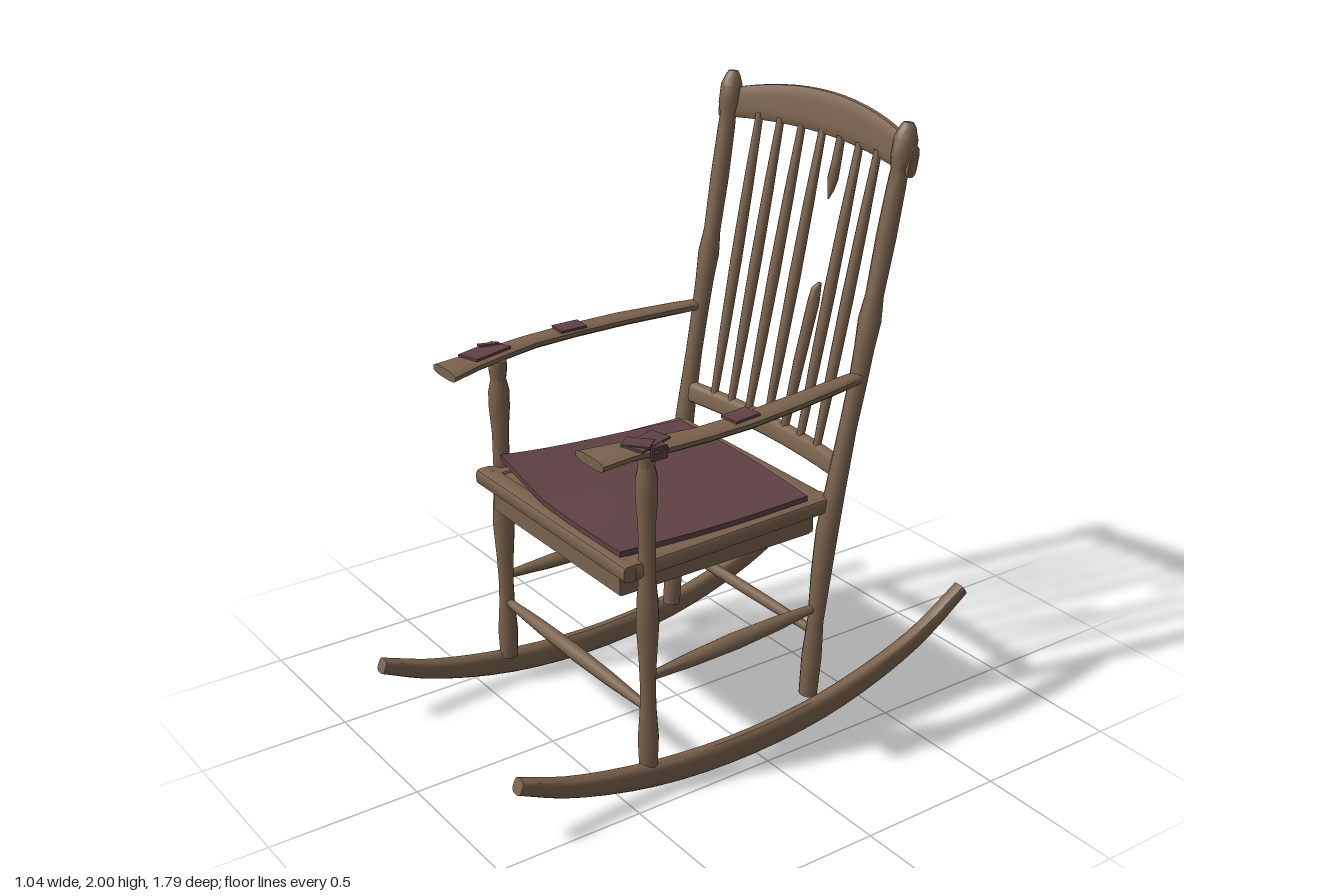
import * as THREE from 'three';
import { toCreasedNormals } from 'three/addons/utils/BufferGeometryUtils.js';

const V = (x, y, z) => new THREE.Vector3(x, y, z);

// Oval or squarish loop around c, spanned by half-axes u and v (k = 1 oval, near 0 square)
function ring(c, u, v, k = 1, n = 12) {
  const f = (t) => Math.sign(t) * Math.abs(t) ** k;
  return Array.from({ length: n }, (_, i) => {
    const a = ((i + 0.5) / n) * Math.PI * 2;
    return c.clone().addScaledVector(u, f(Math.cos(a))).addScaledVector(v, f(Math.sin(a)));
  });
}

// Skin a list of loops, cap both ends and make the faces point outwards
function loft(rings, crease = 0.7) {
  const n = rings[0].length, pts = rings.flat(), idx = [];
  const mean = (r) => r.reduce((s, p) => s.add(p), V(0, 0, 0)).divideScalar(n);
  for (let j = 0; j < rings.length - 1; j++) {
    for (let i = 0; i < n; i++) {
      const a = j * n + i, b = j * n + (i + 1) % n;
      idx.push(a, b, b + n, a, b + n, a + n);
    }
  }
  const last = (rings.length - 1) * n, c0 = pts.length;
  const all = [...pts, mean(rings[0]), mean(rings[rings.length - 1])];
  for (let i = 0; i < n; i++) {
    const k = (i + 1) % n;
    idx.push(c0, k, i, c0 + 1, last + i, last + k);
  }
  let volume = 0;
  for (let i = 0; i < idx.length; i += 3) {
    volume += all[idx[i]].dot(all[idx[i + 1]].clone().cross(all[idx[i + 2]]));
  }
  if (volume < 0) idx.reverse();
  const g = new THREE.BufferGeometry().setFromPoints(all);
  g.setIndex(idx);
  return toCreasedNormals(g, crease);
}

// Turned stick through rows of [x, y, z, radius]
function turned(rows, n = 10) {
  const p = rows.map((r) => V(r[0], r[1], r[2]));
  const axis = p[p.length - 1].clone().sub(p[0]).normalize();
  const u = axis.clone().cross(Math.abs(axis.x) > 0.7 ? V(0, 1, 0) : V(1, 0, 0)).normalize();
  const v = axis.clone().cross(u);
  return loft(rows.map((r, i) => ring(p[i], u.clone().multiplyScalar(r[3]), v.clone().multiplyScalar(r[3]), 1, n)));
}

// Stick that swells in the middle
function stick(a, b, r, mid) {
  return turned([0, 0.25, 0.5, 0.75, 1].map((t) => {
    const p = a.clone().lerp(b, t);
    return [p.x, p.y, p.z, r + (mid - r) * Math.sin(t * Math.PI)];
  }));
}

export function createModel() {
  const model = new THREE.Group();
  const wood = new THREE.MeshStandardMaterial({ color: 0x7a624d });
  wood.name = 'weathered wood';
  const cloth = new THREE.MeshStandardMaterial({ color: 0x5f4145 });
  cloth.name = 'faded cloth';
  const add = (name, geometry, material = wood) => {
    const m = new THREE.Mesh(geometry, material);
    m.name = name;
    model.add(m);
    return m;
  };
  const box = (name, w, h, d, x, y, z, material) => {
    const m = add(name, new THREE.BoxGeometry(w, h, d), material);
    m.position.set(x, y, z);
    return m;
  };

  for (const s of [-1, 1]) {
    const side = s > 0 ? 'left' : 'right';

    // Rocker: z, y, height
    const rk = [[0.885, 0.212, 0.05], [0.7, 0.138, 0.066], [0.4, 0.07, 0.085], [0.08, 0.046, 0.09],
      [-0.25, 0.07, 0.088], [-0.5, 0.13, 0.078], [-0.7, 0.208, 0.062], [-0.885, 0.325, 0.045]];
    const curve = new THREE.CatmullRomCurve3(rk.map((r) => V(r[2], r[1], r[0])));
    add(side + ' rocker', loft(Array.from({ length: 25 }, (_, i) => {
      const p = curve.getPoint(i / 24), t = curve.getTangent(i / 24), h = p.x / 2;
      const up = V(0, -t.z, t.y).normalize().multiplyScalar(h);
      return ring(V(s * 0.43, p.y, p.z), V(0.024, 0, 0), up, 0.6);
    })));

    // Front leg: y, radius
    add(side + ' front leg', turned([[0.1, 0.03], [0.2, 0.034], [0.3, 0.027], [0.38, 0.025], [0.48, 0.029],
      [0.6, 0.037], [0.68, 0.034], [0.74, 0.028], [0.84, 0.028], [0.93, 0.028], [1.02, 0.035], [1.08, 0.035],
      [1.12, 0.026], [1.15, 0.03], [1.185, 0.03]].map(([y, r]) => [s * 0.42, y, 0.41, r])));

    // Back post with knob: x, y, z, radius
    add(side + ' back post', turned([[0.388, 0.11, -0.252, 0.031], [0.39, 0.25, -0.262, 0.034],
      [0.392, 0.38, -0.272, 0.027], [0.395, 0.55, -0.287, 0.034], [0.4, 0.7, -0.302, 0.037],
      [0.405, 0.85, -0.328, 0.033], [0.41, 1.05, -0.365, 0.029], [0.415, 1.2, -0.395, 0.03],
      [0.416, 1.3, -0.413, 0.032], [0.417, 1.39, -0.43, 0.037], [0.418, 1.47, -0.445, 0.029],
      [0.422, 1.65, -0.478, 0.032], [0.426, 1.8, -0.505, 0.03], [0.428, 1.855, -0.515, 0.028],
      [0.43, 1.89, -0.522, 0.038], [0.431, 1.95, -0.532, 0.038], [0.432, 1.985, -0.538, 0.025],
      [0.432, 1.998, -0.54, 0.016]].map(([x, y, z, r]) => [s * x, y, z, r])));

    // Bowed arm rest: z, inner x, outer x, y
    const arm = [[-0.41, 0.395, 0.44, 1.212], [-0.3, 0.403, 0.465, 1.21], [-0.1, 0.422, 0.498, 1.207],
      [0.1, 0.437, 0.515, 1.2], [0.25, 0.435, 0.513, 1.196], [0.38, 0.41, 0.503, 1.192],
      [0.5, 0.378, 0.49, 1.19], [0.605, 0.345, 0.492, 1.184]];
    add(side + ' arm rest', loft(arm.map(([z, a, b, y]) =>
      ring(V(s * (a + b) / 2, y, z), V((b - a) / 2, 0, 0), V(0, 0.017, 0), 0.7))));

    // Side stretcher, seat rail and apron
    add(side + ' stretcher', stick(V(s * 0.415, 0.41, 0.4), V(s * 0.39, 0.427, -0.27), 0.014, 0.029));
    add(side + ' seat rail', loft([[0.46, 0.4], [-0.31, 0.375]].map(([z, x]) =>
      ring(V(s * x, 0.791, z), V(0.036, 0, 0), V(0, 0.027, 0), 0.4))));
    box(side + ' apron', 0.03, 0.085, 0.72, s * 0.352, 0.73, 0.105);

    // Cloth patch near the middle of the arm
    box(side + ' middle arm patch', 0.068, 0.008, 0.095, s * 0.468, 1.22, 0.105, cloth).rotation.set(0.03, s * 0.08, 0);
  }

  // Cloth wrapped near the arm ends
  box('right front arm patch', 0.088, 0.008, 0.15, -0.448, 1.212, 0.44, cloth).rotation.set(0.02, 0.24, 0.04);
  box('right loose scrap', 0.04, 0.007, 0.07, -0.49, 1.214, 0.4, cloth).rotation.set(0, -0.3, 0.2);
  box('left front arm patch', 0.07, 0.008, 0.13, 0.452, 1.212, 0.43, cloth).rotation.set(0.02, 0.3, -0.04);
  box('left crossing patch', 0.085, 0.007, 0.06, 0.45, 1.215, 0.46, cloth).rotation.set(0, 0.7, 0);
  box('left loose scrap', 0.035, 0.007, 0.055, 0.497, 1.205, 0.42, cloth).rotation.set(0, 0.1, -0.35);
  box('left hanging scrap', 0.007, 0.04, 0.055, 0.507, 1.195, 0.425, cloth);

  // Front and back rails, stretchers and aprons
  const rail = (x, y, z, hy, hz) => loft([-x, x].map((e) => ring(V(e, y, z), V(0, hy, 0), V(0, 0, hz), 0.5)));
  add('front seat rail', rail(0.432, 0.791, 0.468, 0.027, 0.033));
  add('back seat rail', rail(0.39, 0.791, -0.285, 0.026, 0.033));
  box('front apron', 0.734, 0.075, 0.03, 0, 0.728, 0.458);
  box('back apron', 0.734, 0.075, 0.03, 0, 0.728, -0.255);
  add('front stretcher', stick(V(-0.41, 0.31, 0.41), V(0.41, 0.305, 0.41), 0.014, 0.026));
  add('back stretcher', stick(V(-0.39, 0.34, -0.268), V(0.39, 0.34, -0.268), 0.014, 0.02));
  box('seat panel', 0.72, 0.02, 0.75, 0, 0.8, 0.09);

  // Thin warped cushion with one lifted front corner
  const cushion = new THREE.BoxGeometry(1, 0.018, 1, 12, 1, 12);
  const pos = cushion.attributes.position;
  for (let i = 0; i < pos.count; i++) {
    const u = pos.getX(i) + 0.5, v = pos.getZ(i) + 0.5;
    const mix = (a, b, c, d) => (a * (1 - u) + b * u) * (1 - v) + (c * (1 - u) + d * u) * v;
    const lift = 0.038 * Math.max(0, 1 - u * 2.5) * v ** 3;
    pos.setXYZ(i, mix(-0.352, 0.385, -0.38, 0.365) + 0.03 * (u - 0.5) * Math.sin(v * Math.PI),
      pos.getY(i) + 0.826 + lift + 0.006 * Math.sin(u * Math.PI) * Math.sin(v * Math.PI),
      mix(-0.265, -0.23, 0.435, 0.47) + 0.03 * (v - 0.5) * Math.sin(u * Math.PI));
  }
  cushion.computeVertexNormals();
  add('seat cushion', cushion, cloth);

  // Curved crest rail and lower back rail
  const bow = (x, w) => 1 - (x / w) ** 2;
  const crestZ = (x) => -0.53 - 0.058 * bow(x, 0.47);
  const lowZ = (x) => -0.335 - 0.033 * bow(x, 0.4);
  const steps = Array.from({ length: 17 }, (_, i) => i / 8 - 1);
  add('crest rail', loft(steps.map((t) => {
    const x = t * 0.473, b = bow(x, 0.473), low = 1.838 + 0.03 * b, top = 1.93 + 0.07 * b, h = (top - low) / 2;
    return ring(V(x, low + h, crestZ(x)), V(0, h, -h * 0.18), V(0, 0, 0.018), 0.6);
  })));
  add('lower back rail', loft(steps.map((t) =>
    ring(V(t * 0.4, 0.912, lowZ(t * 0.4)), V(0, 0.034, -0.006), V(0, 0, 0.018), 0.6))));

  // Whole back spindles: bottom x, top x
  for (const [a, b] of [[-0.275, -0.3], [-0.19, -0.205], [-0.1, -0.105], [0, -0.005], [0.18, 0.187], [0.275, 0.287]]) {
    add('back spindle', stick(V(a, 0.93, lowZ(a)), V(b, 1.88, crestZ(b) + 0.015), 0.013, 0.02));
  }

  // Snapped spindle: leaning lower part, hanging upper part and splinters
  add('broken spindle lower part', turned([[0.09, 0.93, -0.368, 0.014], [0.103, 1.15, -0.41, 0.019],
    [0.118, 1.36, -0.453, 0.02], [0.122, 1.405, -0.46, 0.016], [0.13, 1.425, -0.467, 0.006]]));
  add('broken spindle upper part', turned([[0.09, 1.88, -0.57, 0.014], [0.089, 1.8, -0.555, 0.016],
    [0.088, 1.745, -0.543, 0.018], [0.087, 1.71, -0.537, 0.011], [0.084, 1.68, -0.53, 0.002]]));
  add('splinter', turned([[0.078, 1.77, -0.548, 0.009], [0.075, 1.705, -0.535, 0.002]], 5));
  add('splinter', turned([[0.099, 1.77, -0.548, 0.008], [0.1, 1.72, -0.538, 0.002]], 5));
  return model;
}
